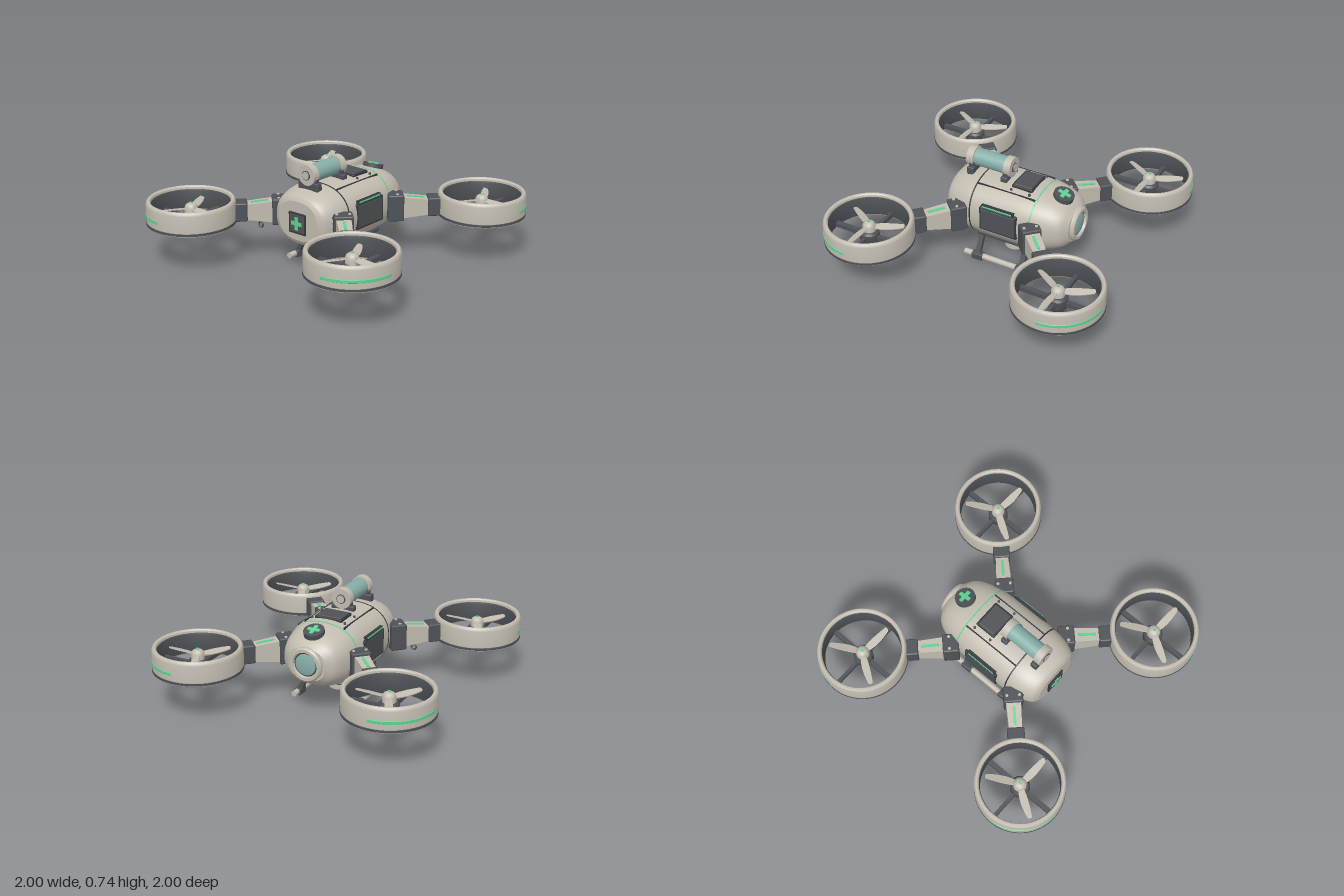
import * as THREE from 'three';
import { toCreasedNormals } from 'three/addons/utils/BufferGeometryUtils.js';
import { RoundedBoxGeometry } from 'three/addons/geometries/RoundedBoxGeometry.js';

const mat = (name, color) => Object.assign(new THREE.MeshStandardMaterial({ color }), { name });
const V = (x, y, z) => new THREE.Vector3(x, y, z);

export function createModel() {
  const shell = mat('warm grey shell', 0xc2bcb0);
  const dark = mat('charcoal', 0x4e5256);
  const seam = mat('dark seam', 0x35383c);
  const green = mat('mint green', 0x5fd394);
  const glass = mat('teal glass', 0x86aea8);
  const model = new THREE.Group();

  // Helpers
  const add = (parent, name, geo, material, x = 0, y = 0, z = 0) => {
    const m = new THREE.Mesh(geo, material);
    m.name = name;
    m.position.set(x, y, z);
    parent.add(m);
    return m;
  };
  const group = (name, parent = model) => {
    const g = new THREE.Group();
    g.name = name;
    parent.add(g);
    return g;
  };
  const box = (w, h, d) => new THREE.BoxGeometry(w, h, d);
  const rbox = (w, h, d, r = 0.01) => new RoundedBoxGeometry(w, h, d, 2, r);
  const cyl = (r, h, top = r, n = 32) => new THREE.CylinderGeometry(top, r, h, n);
  const lathe = (pts, n = 48, start = 0, len = Math.PI * 2) => toCreasedNormals(
    new THREE.LatheGeometry(pts.map(p => new THREE.Vector2(...p)), n, start, len), 0.6);
  const rod = (parent, name, a, b, r, material, n = 16) => {
    const m = add(parent, name, cyl(r, a.distanceTo(b), r, n), material);
    m.position.copy(a).lerp(b, 0.5);
    m.quaternion.setFromUnitVectors(V(0, 1, 0), b.clone().sub(a).normalize());
    return m;
  };
  const cross = (parent, size, width, thick) => {
    add(parent, 'crossUpright', box(width, size, thick), green);
    for (const s of [-1, 1]) {
      const len = (size - width) / 2;
      add(parent, 'crossArm', box(len, width, thick), green, s * (width + len) / 2);
    }
  };

  // Hull: superellipse sections (half width, half height, z) lofted along z
  const midY = 0.377;
  const hull = new THREE.CatmullRomCurve3([
    V(0.165, 0.135, 0.407), V(0.205, 0.165, 0.385), V(0.235, 0.188, 0.33), V(0.254, 0.205, 0.25),
    V(0.26, 0.212, 0.17), V(0.26, 0.217, 0), V(0.257, 0.216, -0.16), V(0.245, 0.207, -0.27),
    V(0.222, 0.186, -0.37), V(0.19, 0.153, -0.44), V(0.135, 0.112, -0.485),
  ]).getPoints(60);
  const hullAt = z => {
    let i = 0;
    while (i < hull.length - 2 && hull[i + 1].z > z) i++;
    const t = (hull[i].z - z) / (hull[i].z - hull[i + 1].z);
    return hull[i].clone().lerp(hull[i + 1], t);
  };
  const loft = (sections, grow, capped) => {
    const n = 64, pos = [], idx = [];
    const pow = v => Math.sign(v) * Math.abs(v) ** (2 / 2.4);
    const ring = s => {
      for (let j = 0; j < n; j++) {
        const a = j / n * Math.PI * 2;
        pos.push((s.x + grow) * pow(Math.cos(a)), midY + (s.y + grow) * pow(Math.sin(a)), s.z);
      }
    };
    sections.forEach(ring);
    for (let i = 0; i < sections.length - 1; i++) for (let j = 0; j < n; j++) {
      const a = i * n + j, b = i * n + (j + 1) % n;
      idx.push(a, a + n, b, b, a + n, b + n);
    }
    if (capped) for (const [s, flip] of [[sections[0], 0], [sections.at(-1), 1]]) {
      const base = pos.length / 3;
      ring(s);
      pos.push(0, midY, s.z);
      for (let j = 0; j < n; j++) {
        const a = base + j, b = base + (j + 1) % n;
        idx.push(base + n, flip ? b : a, flip ? a : b);
      }
    }
    const g = new THREE.BufferGeometry();
    g.setAttribute('position', new THREE.Float32BufferAttribute(pos, 3));
    g.setIndex(idx);
    g.computeVertexNormals();
    return g;
  };
  const body = group('body');
  add(body, 'hull', loft(hull, 0, true), shell);
  const band = (name, z, w, material) =>
    add(body, name, loft([hullAt(z + w / 2), hullAt(z - w / 2)], 0.002, true), material);
  band('frontSeam', 0.19, 0.009, seam);
  band('rearStripe', -0.25, 0.008, green);

  // Side hatches, roof seams and bolts
  for (const s of [-1, 1]) {
    add(body, 'sideHatchFrame', rbox(0.04, 0.18, 0.28), seam, s * 0.243, 0.38, -0.025);
    add(body, 'sideHatch', rbox(0.04, 0.164, 0.262), dark, s * 0.246, 0.38, -0.025);
    add(body, 'sideLightBase', box(0.03, 0.02, 0.24), seam, s * 0.246, 0.478, -0.02);
    add(body, 'sideLight', box(0.03, 0.01, 0.22), green, s * 0.25, 0.48, -0.02);
    add(body, 'roofSeam', box(0.008, 0.02, 0.43), seam, s * 0.145, 0.563, -0.028);
    for (const z of [-0.19, -0.055]) add(body, 'roofBolt', cyl(0.009, 0.02, 0.009, 10), dark, s * 0.122, 0.578, z);
    for (const y of [0.36, 0.395, 0.43]) {
      const b = add(body, 'cheekBolt', cyl(0.012, 0.02, 0.012, 10), dark, s * 0.232, y, 0.32);
      b.rotation.z = Math.PI / 2;
    }
  }
  add(body, 'roofHatchFrame', rbox(0.2, 0.03, 0.155), seam, 0, 0.588, -0.12);
  add(body, 'roofHatch', rbox(0.18, 0.03, 0.135), dark, 0, 0.593, -0.12);

  // Nose badge
  const nose = group('noseBadge');
  nose.position.set(0, 0.363, 0.41);
  add(nose, 'badgeFrame', rbox(0.146, 0.146, 0.014, 0.006), seam);
  add(nose, 'badgePlate', rbox(0.126, 0.126, 0.018, 0.006), dark);
  const noseCross = group('noseCross', nose);
  noseCross.position.z = 0.01;
  cross(noseCross, 0.09, 0.025, 0.008);

  // Round badge on the sloping tail roof
  const tail = group('tailBadge');
  tail.position.set(0, 0.566, -0.38);
  tail.rotation.x = -Math.PI / 2 - 0.27;
  add(tail, 'badgeDisc', cyl(0.07, 0.035), dark).rotation.x = Math.PI / 2;
  const tailCross = group('tailCross', tail);
  tailCross.position.z = 0.02;
  cross(tailCross, 0.088, 0.026, 0.008);

  // Rear lens
  const lens = group('rearLens');
  lens.position.set(0, 0.38, -0.47);
  lens.rotation.x = -Math.PI / 2;
  add(lens, 'lensRing', lathe([[0.118, -0.03], [0.118, 0.03], [0.108, 0.042], [0.088, 0.042], [0.08, 0.02]]), shell);
  add(lens, 'lensGasket', cyl(0.086, 0.05), seam);
  add(lens, 'lensGlass', lathe([[0.075, 0.02], [0.074, 0.03], [0.05, 0.036], [0, 0.039]]), glass);

  // Roof canister with clamps
  const tank = group('canister');
  rod(tank, 'canisterGlass', V(0, 0.67, 0.03), V(0, 0.67, 0.29), 0.06, glass, 32);
  for (const [z, e] of [[0.295, 1], [0.015, -1]]) {
    rod(tank, 'canisterCap', V(0, 0.67, z - 0.025), V(0, 0.67, z + 0.025), 0.07, shell, 32);
    rod(tank, 'capCollar', V(0, 0.67, z), V(0, 0.67, z + e * 0.032), 0.032, dark, 24);
    rod(tank, 'capPlug', V(0, 0.67, z), V(0, 0.67, z + e * 0.035), 0.027, shell, 24);
    add(tank, 'clampBase', rbox(0.17, 0.06, 0.05), dark, 0, 0.592, z - e * 0.012);
    add(tank, 'clampPost', rbox(0.13, 0.08, 0.042), dark, 0, 0.625, z - e * 0.012);
  }

  // Landing gear
  const gear = group('landingGear');
  for (const s of [-1, 1]) {
    add(gear, 'gearRail', rbox(0.05, 0.03, 0.42), dark, s * 0.15, 0.18, -0.03);
    rod(gear, 'skid', V(s * 0.223, 0.03, 0.25), V(s * 0.223, 0.03, -0.27), 0.02, shell);
    for (const z of [0.15, -0.185]) {
      add(gear, 'skidClamp', rbox(0.05, 0.05, 0.085), dark, s * 0.223, 0.027, z);
      const leg = add(gear, 'leg', box(0.03, 0.16, 0.036), dark, s * 0.185, 0.11, z);
      leg.rotation.z = s * 0.46;
    }
  }

  // Belly camera, stacked rings
  const camera = group('bellyCamera');
  for (const [y, h, r, m] of [[0.162, 0.03, 0.11, dark], [0.14, 0.02, 0.1, shell], [0.122, 0.02, 0.09, seam],
    [0.104, 0.02, 0.085, shell], [0.085, 0.02, 0.07, dark], [0.062, 0.032, 0.077, shell],
    [0.046, 0.008, 0.06, seam], [0.043, 0.008, 0.038, glass]])
    add(camera, 'cameraRing', cyl(r, h), m, 0, y, -0.025);

  // Arms and ducted rotors at the four corners
  const beam = box(0.1, 0.15, 0.2);
  const p = beam.attributes.position;
  for (let i = 0; i < p.count; i++) if (p.getZ(i) > 0) p.setXY(i, p.getX(i) * 0.85, p.getY(i) * 0.7);
  beam.computeVertexNormals();

  const blade = new THREE.Shape();
  blade.moveTo(0.02, -0.016);
  blade.bezierCurveTo(0.08, -0.036, 0.14, -0.034, 0.225, -0.016);
  blade.quadraticCurveTo(0.242, 0, 0.228, 0.016);
  blade.bezierCurveTo(0.16, 0.022, 0.1, 0.026, 0.02, 0.016);
  const bladeGeo = new THREE.ExtrudeGeometry(blade, { depth: 0.008, bevelEnabled: false })
    .rotateX(-Math.PI / 2).rotateX(0.28);

  const rim = lathe([[0.3, 0.312], [0.3, 0.432], [0.296, 0.447], [0.288, 0.455], [0.276, 0.455], [0.268, 0.447], [0.266, 0.43]], 64);
  const lowerRim = lathe([[0.266, 0.292], [0.27, 0.284], [0.288, 0.282], [0.296, 0.29], [0.297, 0.296]], 64);
  const lowerBand = lathe([[0.296, 0.293], [0.302, 0.296], [0.302, 0.312], [0.299, 0.315]], 64);
  const liner = lathe([[0.267, 0.435], [0.262, 0.42], [0.262, 0.305], [0.267, 0.29]], 64);
  const pod = lathe([[0, 0.245], [0.035, 0.249], [0.055, 0.262], [0.066, 0.285], [0.066, 0.345], [0.055, 0.36], [0, 0.36]], 32);
  const spinner = lathe([[0.044, 0.355], [0.044, 0.395], [0.036, 0.414], [0.02, 0.425], [0, 0.428]], 32);

  for (const sx of [-1, 1]) for (const sz of [-1, 1]) {
    const heading = Math.atan2(sx, sz);
    const arm = group('arm');
    arm.rotation.y = heading;
    add(arm, 'armRoot', rbox(0.13, 0.185, 0.11), dark, 0, 0.362, 0.39);
    add(arm, 'armBeam', beam, shell, 0, 0.36, 0.53);
    add(arm, 'armTip', rbox(0.115, 0.13, 0.09), dark, 0, 0.363, 0.655);
    const stripe = add(arm, 'armStripe', box(0.018, 0.008, 0.12), green, 0, 0.426, 0.53);
    stripe.rotation.x = 0.112;
    for (const x of [-0.042, 0.042])
      add(arm, 'armBolt', cyl(0.01, 0.012, 0.01, 10), shell, x, 0.455, 0.4);
    if (sx < 0 && sz > 0) {
      add(arm, 'hookPost', cyl(0.01, 0.03, 0.01, 10), dark, 0, 0.285, 0.52);
      add(arm, 'hookRing', new THREE.TorusGeometry(0.018, 0.006, 8, 20), dark, 0, 0.257, 0.52).rotation.y = -heading;
    }

    const rotor = group('rotor');
    rotor.position.set(sx * 0.697, 0, sz * 0.697);
    add(rotor, 'ductShell', rim, shell);
    add(rotor, 'ductLowerRim', lowerRim, shell);
    add(rotor, 'ductBand', lowerBand, dark);
    add(rotor, 'ductLiner', liner, dark);
    add(rotor, 'ductStripe', lathe([[0.3, 0.35], [0.303, 0.352], [0.303, 0.37], [0.3, 0.372]], 24, heading - Math.PI / 4, Math.PI / 2), green);
    add(rotor, 'motorPod', pod, dark);
    add(rotor, 'strutAcross', box(0.53, 0.03, 0.024), dark, 0, 0.315, 0);
    add(rotor, 'strutAlong', box(0.034, 0.03, 0.53), dark, 0, 0.315, 0);
    add(rotor, 'spinner', spinner, shell);
    add(rotor, 'spinnerCap', cyl(0.01, 0.008, 0.01, 12), green, 0, 0.428, 0);
    for (let i = 0; i < 3; i++)
      add(rotor, 'blade', bladeGeo, shell, 0, 0.385, 0).rotation.y = i * Math.PI * 2 / 3 - 0.05;
  }
  return model;
}
